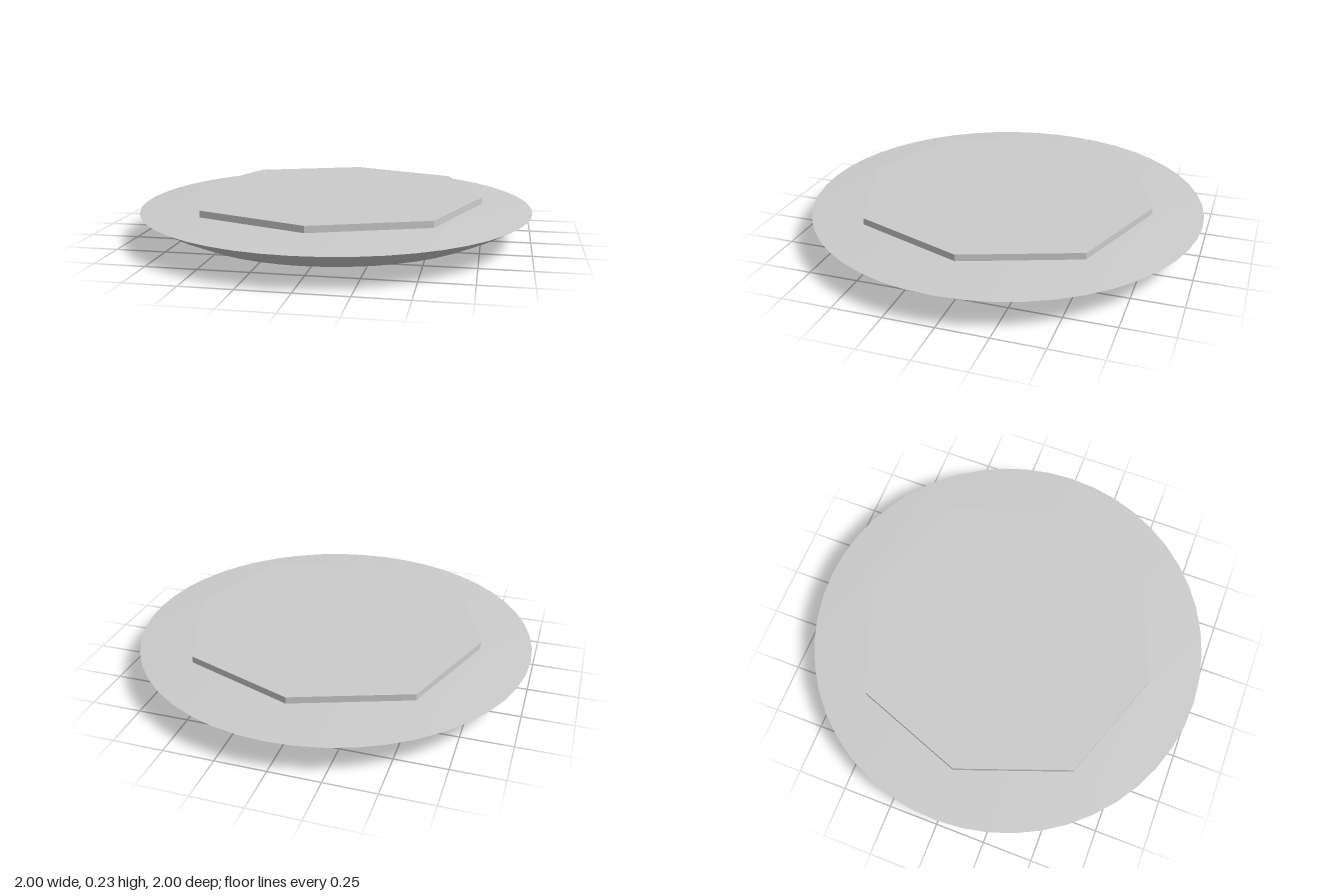
import * as THREE from 'three';

const material = new THREE.MeshStandardMaterial({ color: 0xcccccc, side: THREE.DoubleSide });

// Smooth surface of revolution from [radius, height] pairs
function revolve(name, profile) {
  const points = profile.map(([r, y]) => new THREE.Vector2(r, y));
  const mesh = new THREE.Mesh(new THREE.LatheGeometry(points, 48), material);
  mesh.name = name;
  return mesh;
}

export function createModel() {
  const model = new THREE.Group();
  model.name = 'dish';

  // Shallow bowl, open in the middle of its base
  model.add(revolve('bowl', [[0.415, 0], [0.6, 0.02], [0.79, 0.055], [0.9, 0.105], [1, 0.16]]));

  // Gently rising top ring, open under the slab
  model.add(revolve('topRing', [[1, 0.16], [0.8, 0.174], [0.62, 0.183]]));

  // Eight-sided slab hovering just above the ring
  const outline = new THREE.Shape();
  for (let i = 0; i < 8; i++) {
    const angle = (i * Math.PI) / 4;
    const radius = i % 2 ? 0.55 * Math.SQRT2 : 0.75;
    const x = radius * Math.cos(angle);
    const y = radius * Math.sin(angle);
    if (i === 0) outline.moveTo(x, y);
    else outline.lineTo(x, y);
  }
  outline.closePath();
  const slabGeometry = new THREE.ExtrudeGeometry(outline, { depth: 0.033, bevelEnabled: false });
  slabGeometry.rotateX(-Math.PI / 2);
  const slab = new THREE.Mesh(slabGeometry, material);
  slab.name = 'octagonalSlab';
  slab.position.y = 0.193;
  model.add(slab);

  return model;
}
